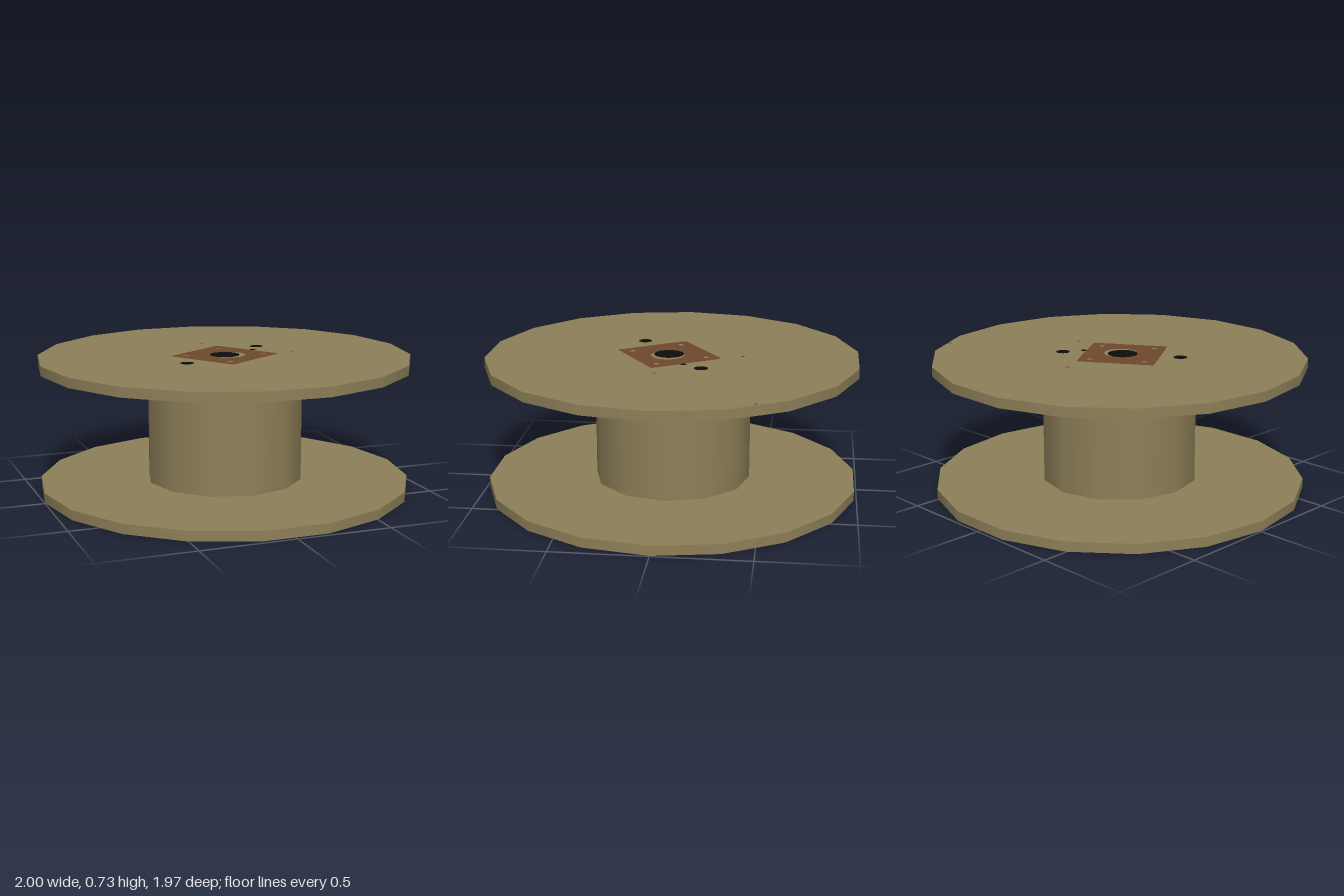
import * as THREE from 'three';

const tan = new THREE.MeshStandardMaterial({ color: 0x8d7f58 });
tan.name = 'weathered wood';
const brown = new THREE.MeshStandardMaterial({ color: 0x6e492d });
brown.name = 'rusty brown';
const black = new THREE.MeshStandardMaterial({ color: 0x0d0d0d });
black.name = 'hole black';

const RADIUS = 1, THICK = 0.052, HEIGHT = 0.725, DRUM_RADIUS = 0.42;

function addMesh(parent, name, geometry, material, y = 0) {
  const mesh = new THREE.Mesh(geometry, material);
  mesh.name = name;
  mesh.position.y = y;
  parent.add(mesh);
  return mesh;
}

// Flat round mark lying on the flange, facing up
function addSpot(parent, name, x, z, radius, material, y = 0.002) {
  const spot = addMesh(parent, name, new THREE.CircleGeometry(radius, 16).rotateX(-Math.PI / 2), material, y);
  spot.position.x = x;
  spot.position.z = z;
}

function circlePath(x, y, radius) {
  return new THREE.Path().absarc(x, y, radius, 0, Math.PI * 2, true);
}

// Square hub plate with softened corners, bolt holes and a bore
function hubPlateGeometry() {
  const a = 0.207, r = 0.018, turn = 0.576, cx = -0.005, cy = -0.02;
  const shape = new THREE.Shape();
  shape.moveTo(-a + r, -a);
  shape.lineTo(a - r, -a).quadraticCurveTo(a, -a, a, -a + r);
  shape.lineTo(a, a - r).quadraticCurveTo(a, a, a - r, a);
  shape.lineTo(-a + r, a).quadraticCurveTo(-a, a, -a, a - r);
  shape.lineTo(-a, -a + r).quadraticCurveTo(-a, -a, -a + r, -a);
  for (const sx of [-1, 1]) for (const sy of [-1, 1]) {
    shape.holes.push(circlePath(sx * 0.146, sy * 0.146, 0.014));
  }
  // The bore is slightly off centre, so a rim of wood shows beside it
  shape.holes.push(circlePath(0.014, -0.015, 0.09));
  return new THREE.ShapeGeometry(shape, 10)
    .rotateZ(turn).translate(cx, cy, 0).rotateX(-Math.PI / 2);
}

// Everything on the outer face of one flange
function createHubFace(name) {
  const face = new THREE.Group();
  face.name = name;
  addMesh(face, 'hubPlate', hubPlateGeometry(), brown, 0.002);
  addSpot(face, 'axleHole', -0.005, 0.02, 0.081, black, 0.003);
  addSpot(face, 'driveHoleRight', 0.255, -0.175, 0.037, black);
  addSpot(face, 'driveHoleLeft', -0.273, 0.183, 0.037, black);
  addSpot(face, 'smallHole', 0.195, -0.077, 0.016, black, 0.003);
  for (const [x, z] of [[0.002, -0.375], [0.37, 0.05], [0.838, -0.487]]) {
    addSpot(face, 'nailHead', x, z, 0.011, brown);
  }
  return face;
}

export function createModel() {
  const reel = new THREE.Group();
  reel.name = 'cableReel';

  // Two 18-sided flanges with a corner on the x axis
  const flange = new THREE.CylinderGeometry(RADIUS, RADIUS, THICK, 18, 1, false, Math.PI / 2);
  addMesh(reel, 'bottomFlange', flange, tan, THICK / 2);
  addMesh(reel, 'topFlange', flange, tan, HEIGHT - THICK / 2);

  // Twelve-sided drum between them
  const drumHeight = HEIGHT - 2 * THICK;
  addMesh(reel, 'drum',
    new THREE.CylinderGeometry(DRUM_RADIUS, DRUM_RADIUS, drumHeight, 12, 1, true), tan, HEIGHT / 2);

  // Hub details on both outer faces; the lower one is flipped and slightly turned
  const top = createHubFace('topHub');
  top.position.y = HEIGHT;
  const bottom = createHubFace('bottomHub');
  bottom.rotation.set(Math.PI, 0.1, 0, 'YXZ');
  reel.add(top, bottom);

  return reel;
}
